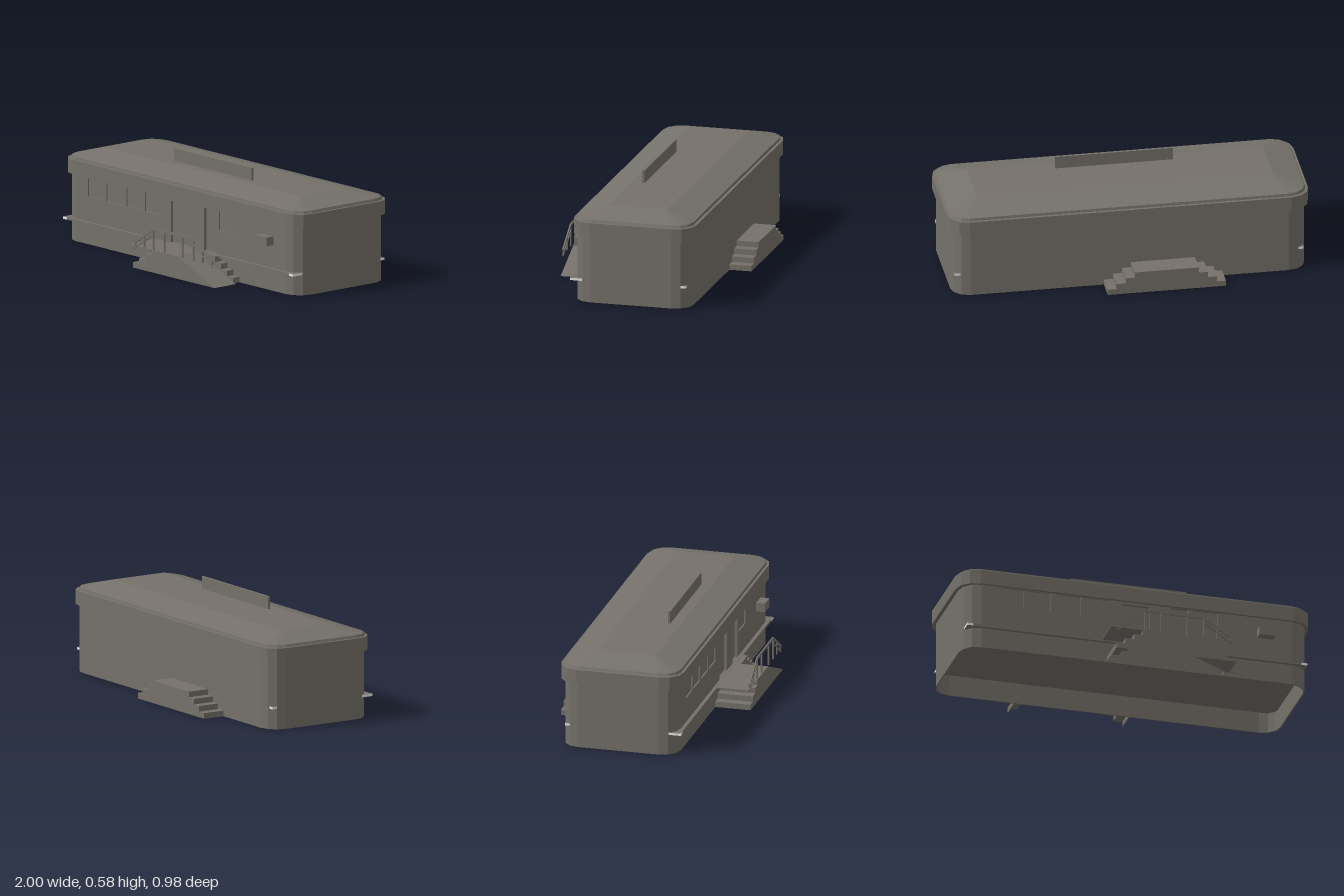
import * as THREE from 'three';
import { mergeGeometries } from 'three/addons/utils/BufferGeometryUtils.js';

const stone = new THREE.MeshStandardMaterial({ color: 0x75716a, flatShading: true });
stone.name = 'warm grey';
const white = new THREE.MeshStandardMaterial({ color: 0xffffff });
white.name = 'white';

const N = 3; // facets per rounded corner

// Rounded rectangle cross-section at height y
function ring(hx, zMin, zMax, r, y) {
  const corners = [[hx - r, zMax - r, 0], [-hx + r, zMax - r, 1], [-hx + r, zMin + r, 2], [hx - r, zMin + r, 3]];
  const pts = [];
  for (const [cx, cz, q] of corners) {
    for (let i = 0; i <= N; i++) {
      const a = (q + i / N) * Math.PI / 2;
      pts.push([cx + r * Math.cos(a), y, cz + r * Math.sin(a)]);
    }
  }
  return pts;
}

// Skin between stacked rings; an open one has no caps and no front side
function loft(rings, open = false) {
  const n = rings[0].length, idx = [];
  for (let k = 0; k < rings.length - 1; k++) {
    for (let i = 0; i < n; i++) {
      if (open && i === N) continue;
      const a = k * n + i, b = k * n + (i + 1) % n;
      idx.push(a, a + n, b, b, a + n, b + n);
    }
  }
  const top = (rings.length - 1) * n;
  for (let i = 1; i < n - 1 && !open; i++) {
    idx.push(0, i, i + 1, top, top + i + 1, top + i);
  }
  const g = new THREE.BufferGeometry();
  g.setAttribute('position', new THREE.Float32BufferAttribute(rings.flat(2), 3));
  g.setIndex(idx);
  const flat = g.toNonIndexed();
  flat.computeVertexNormals();
  return flat;
}

const toShape = (pts) => new THREE.Shape(pts.map(([x, y]) => new THREE.Vector2(x, y)));
const extrude = (shape, z0, z1) =>
  new THREE.ExtrudeGeometry(shape, { depth: z1 - z0, bevelEnabled: false }).translate(0, 0, z0);

// Hollow steps: a thin folded sheet along the profile and a side wall at z1
function steppedShell(pts, z0, z1) {
  const t = 0.004, mid = (pts[0][0] + pts[pts.length - 1][0]) / 2;
  const inner = pts.map(([x, y]) => [x + (x < mid ? t : -t), Math.max(0, y - t)]).reverse();
  const sheet = extrude(toShape([...pts, ...inner]), z0, z1);
  const wall = new THREE.ShapeGeometry(toShape(pts)).translate(0, 0, z1).toNonIndexed();
  return mergeGeometries([sheet, wall]);
}

// Four rising steps from x, then their mirror image
const H = 0.125, RUN = 0.05;
function stepsUp(x) {
  const pts = [[x, 0]];
  for (let i = 0; i < 4; i++) {
    pts.push([x + i * RUN, H * (i + 1) / 4]);
    if (i < 3) pts.push([x + (i + 1) * RUN, H * (i + 1) / 4]);
  }
  return pts;
}
function doubleStairs(x0, x1) {
  const up = stepsUp(x0);
  return [...up, ...up.map(([x, y]) => [x0 + x1 - x, y]).reverse()];
}

export function createModel() {
  const model = new THREE.Group();
  model.name = 'roadsideDiner';
  const add = (name, geo, mat = stone) => {
    const m = new THREE.Mesh(geo, mat);
    m.name = name;
    model.add(m);
    return m;
  };
  const box = (name, x0, x1, y0, y1, z0, z1, mat = stone) => {
    const m = add(name, new THREE.BoxGeometry(x1 - x0, y1 - y0, z1 - z0), mat);
    m.position.set((x0 + x1) / 2, (y0 + y1) / 2, (z0 + z1) / 2);
  };

  // Side and back walls, open underneath
  add('walls', loft([
    ring(0.972, -0.357, 0.282, 0.092, 0.375),
    ring(0.972, -0.357, 0.282, 0.092, 0),
    ring(0.98, -0.365, 0.29, 0.1, 0),
    ring(0.98, -0.365, 0.29, 0.1, 0.375),
  ], true));

  // Front wall with recessed windows and doors
  const front = toShape([[-0.88, 0], [0.88, 0], [0.88, 0.375], [-0.88, 0.375]]);
  const openings = [-0.78, -0.625, -0.455, -0.3, 0.32].map((x) => ['window', x, x + 0.14, 0.265, 0.372, 0.282]);
  openings.push(['door', -0.083, 0.075, 0.128, 0.36, 0.274], ['sideDoor', 0.195, 0.295, 0.128, 0.372, 0.274]);
  for (const [name, x0, x1, y0, y1, z] of openings) {
    front.holes.push(new THREE.Path([[x0, y0], [x0, y1], [x1, y1], [x1, y0]].map(([x, y]) => new THREE.Vector2(x, y))));
    box(name, x0, x1, y0, y1, z - 0.008, z);
  }
  add('frontWall', extrude(front, 0.266, 0.29));

  // Overhanging fascia, hipped roof and its sign board
  add('fascia', loft([ring(1, -0.383, 0.307, 0.11, 0.375), ring(1, -0.383, 0.307, 0.11, 0.455)]));
  add('roof', loft([
    ring(0.987, -0.368, 0.293, 0.1, 0.455),
    ring(0.98, -0.365, 0.29, 0.1, 0.47),
    ring(0.82, -0.2, 0.13, 0.008, 0.513),
  ]));
  box('roofSign', -0.31, 0.342, 0.505, 0.583, 0.061, 0.074);

  // Floor ledge, white at the exposed ends
  box('floorLedge', -0.965, 0.965, 0.114, 0.127, -0.345, 0.31, [white, white, stone, stone, stone, white]);
  for (const s of [-1, 1]) box('ledgeCorner', s * 0.948 - 0.017, s * 0.948 + 0.017, 0.114, 0.127, 0.31, 0.311, white);

  box('wallBox', 0.685, 0.775, 0.255, 0.305, 0.285, 0.34);

  // Rear and front stairs
  add('rearStairs', steppedShell(doubleStairs(-0.145, 0.51), 0.36, 0.49).rotateY(Math.PI));
  add('frontStairs', steppedShell(doubleStairs(-0.168, 0.49), 0.285, 0.335));

  // Porch with steps on one end and a ramp on the other
  add('porch', steppedShell([...stepsUp(-0.168), [0.2, H], [0.513, 0]], 0.335, 0.489));
  box('porchDeck', -0.2, 0.2, 0.122, 0.126, 0.3, 0.487);

  // Handrail: level in the middle, sloping at both ends
  const mid = 0.162, half = 0.168, end = 0.328, topY = 0.243, lowY = 0.14;
  const railY = (x) => {
    const d = Math.abs(x - mid);
    return d < half ? topY : topY + (lowY - topY) * (d - half) / (end - half);
  };
  const path = [mid - end, mid - half, mid + half, mid + end];
  for (const drop of [0, 0.03]) {
    for (let i = 0; i < 3; i++) {
      if (drop && i === 1) continue;
      const a = path[i], b = path[i + 1], ya = railY(a) - drop, yb = railY(b) - drop;
      const rail = add('handrail', new THREE.BoxGeometry(Math.hypot(b - a, yb - ya), drop ? 0.008 : 0.014, 0.008));
      rail.position.set((a + b) / 2, (ya + yb) / 2, 0.482);
      rail.rotation.z = Math.atan2(yb - ya, b - a);
    }
  }
  for (const d of [0.075, 0.168, 0.245, 0.318]) {
    for (const s of [-1, 1]) {
      const x = mid + s * d;
      box('railPost', x - 0.005, x + 0.005, 0.122, railY(x), 0.478, 0.486);
    }
  }
  return model;
}
